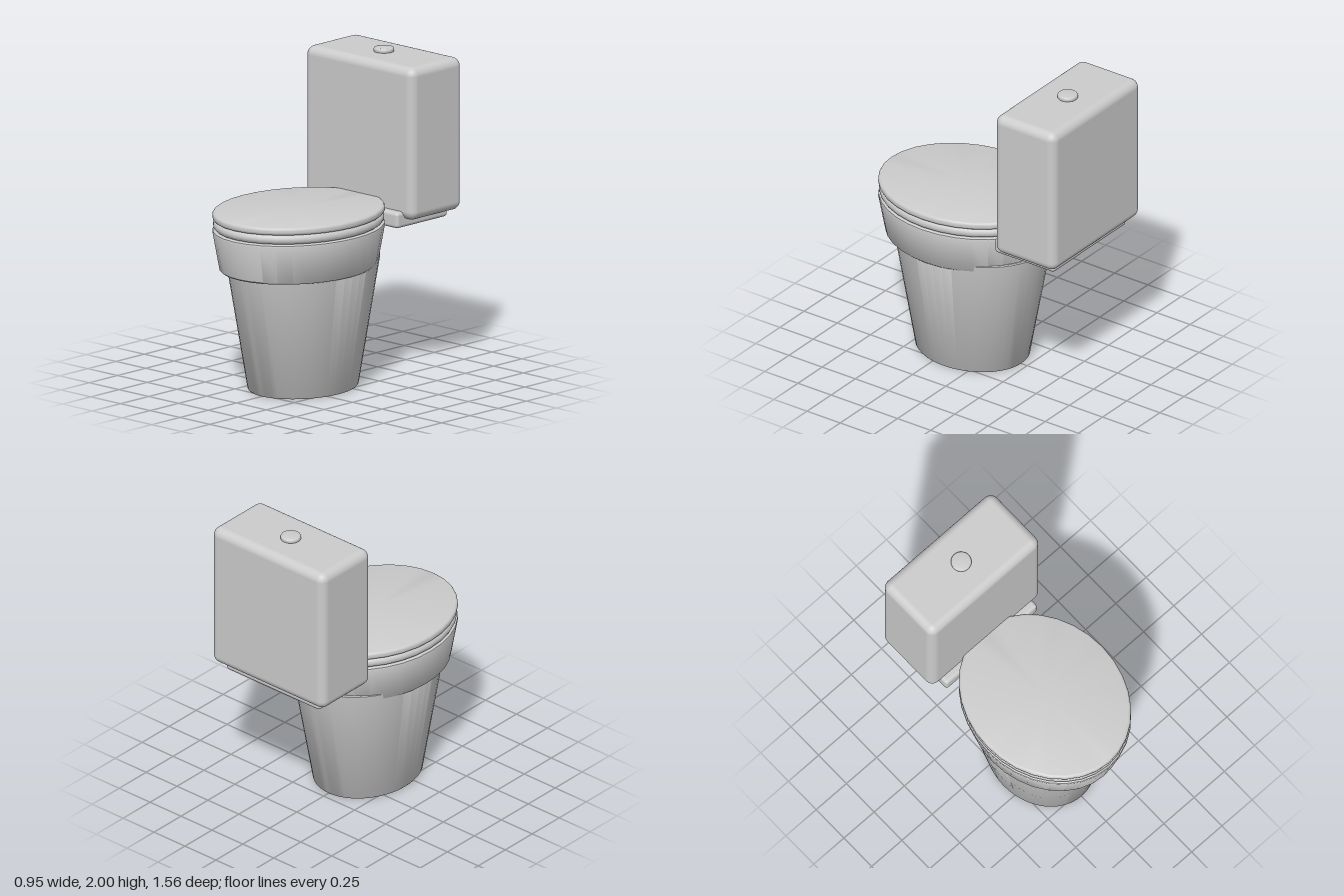
import * as THREE from 'three';
import { toCreasedNormals } from 'three/addons/utils/BufferGeometryUtils.js';
import { RoundedBoxGeometry } from 'three/addons/geometries/RoundedBoxGeometry.js';

export function createModel() {
  const group = new THREE.Group();
  const ceramic = new THREE.MeshStandardMaterial({ color: 0xcccccc });
  ceramic.name = 'ceramic';

  const add = (name, geometry, x, y, z) => {
    const mesh = new THREE.Mesh(geometry, ceramic);
    mesh.name = name;
    mesh.position.set(x, y, z);
    group.add(mesh);
  };

  // Closed oval solid: profile of [radius, y] from bottom to top, stretched in x and z
  const oval = (name, profile, rx, rz, z, segments = 32) => {
    const points = [[0, profile[0][1]], ...profile, [0, profile.at(-1)[1]]]
      .map(([r, y]) => new THREE.Vector2(r, y));
    const lathe = new THREE.LatheGeometry(points, segments).scale(rx, 1, rz);
    add(name, toCreasedNormals(lathe, 0.7), 0, 0, z);
  };

  // Slab with a rounded rim, as a profile
  const slab = (y0, y1, bevel, inset) => {
    const profile = [];
    for (let i = 0; i <= 4; i++) {
      const a = (i / 4) * Math.PI / 2;
      profile.push([1 - inset * (1 - Math.sin(a)), y0 + bevel * (1 - Math.cos(a))]);
    }
    for (let i = 0; i <= 4; i++) {
      const a = (i / 4) * Math.PI / 2;
      profile.push([1 - inset * (1 - Math.cos(a)), y1 - bevel * (1 - Math.sin(a))]);
    }
    return profile;
  };

  // Tapered foot and the wider bowl above it
  oval('pedestal', [[0.705, 0], [0.72, 0.008], [1, 0.805], [0.99, 0.812]], 0.425, 0.516, 0.16, 48);
  oval('bowl', [[0.9, 0.763], [0.92, 0.772], [1, 1.005], [0.995, 1.016], [0.98, 1.02]], 0.477, 0.578, 0.2);

  // Seat and closed lid
  oval('seat', slab(1.022, 1.082, 0.03, 0.05), 0.473, 0.574, 0.2);
  oval('lid', slab(1.082, 1.128, 0.02, 0.03), 0.477, 0.578, 0.2);

  // Cistern on its shelf
  add('shelf', new RoundedBoxGeometry(0.756, 0.1, 0.45, 4, 0.022), 0, 1.02, -0.5);
  add('tank', new RoundedBoxGeometry(0.91, 0.957, 0.455, 5, 0.055), 0, 1.4965, -0.5525);

  // Flush button
  oval('flushButton', slab(1.97, 2, 0.012, 0.15), 0.063, 0.063, -0.555);

  return group;
}
